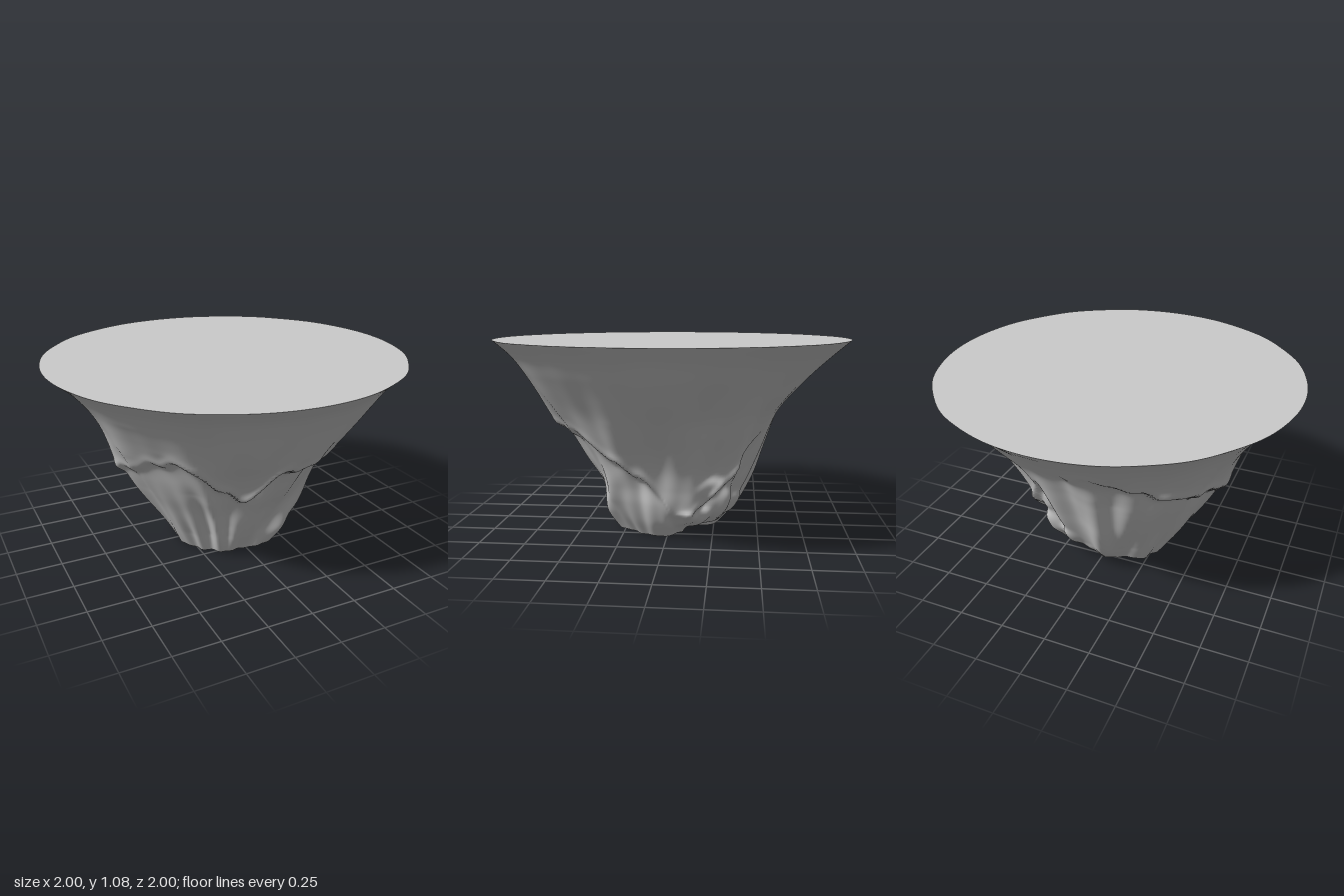
import * as THREE from 'three';

const HEIGHT = 1.08, SEG = 240, ROWS = 84;

// Radius by height for the four sides of the rock, joined by smooth curves
const levels = [0, 0.1, 0.2, 0.3, 0.4, 0.5, 0.6, 0.7, 0.8, 0.9, 1.0, HEIGHT];
const curve = (values) => new THREE.CubicInterpolant(levels, values, 1);
const left = curve([0.30, 0.37, 0.42, 0.45, 0.49, 0.55, 0.62, 0.69, 0.77, 0.85, 0.925, 1]);
const right = curve([0.31, 0.37, 0.43, 0.49, 0.55, 0.605, 0.65, 0.70, 0.755, 0.82, 0.905, 1]);
const front = curve([0.30, 0.35, 0.39, 0.43, 0.49, 0.55, 0.62, 0.70, 0.77, 0.835, 0.91, 1]);
const back = curve([0.27, 0.35, 0.41, 0.46, 0.50, 0.54, 0.58, 0.63, 0.71, 0.80, 0.905, 1]);

// Ledge line around the rock: angle in degrees (0 = +x, 90 = +z), height, depth
const ledge = [
  [-180, 0.52, 0.02], [-164, 0.57, 0.035], [-135, 0.65, 0.03], [-115, 0.75, 0.02], [-100, 0.84, 0.01],
  [-80, 0.74, 0], [-62, 0.62, 0], [-50, 0.48, 0.025], [-40, 0.32, 0.035], [-28, 0.24, 0.035],
  [-15, 0.13, 0.03], [0, 0.22, 0.015], [12, 0.38, 0.03], [24, 0.42, 0.04], [34, 0.5, 0.02],
  [45, 0.6, 0.02], [75, 0.62, 0.03], [90, 0.63, 0.045], [98, 0.5, 0.045], [106, 0.4, 0.045],
  [114, 0.5, 0.04], [135, 0.72, 0.035], [158, 0.62, 0.015], [180, 0.52, 0.02],
];

// Gullies and ribs: base angle, drift with height, width, depth (negative = rib), top
const gullies = [
  [128, 14, 6, 0.035, 0.75], [146, 6, 6, 0.025, 0.9], [112, 5, 5, 0.025, 0.5], [120, 12, 4, -0.02, 0.7],
  [88, -85, 12, 0.02, 0.5], [70, -100, 9, -0.02, 0.5], [-60, 12, 7, 0.02, 0.8], [-46, 2, 5, -0.015, 0.8],
  [-80, -6, 8, 0.035, 1.0], [-95, -6, 7, -0.015, 0.9], [-110, 4, 7, 0.025, 0.85], [-126, 8, 8, 0.02, 0.8],
  [-152, -8, 9, 0.02, 0.7], [172, -6, 6, 0.02, 0.7],
];

// Boulders stuck to the lower wall: angle, height, angular and vertical size, bulge
const boulders = [
  [-46, 0.2, 11, 0.08, 0.025], [-32, 0.3, 9, 0.06, 0.025], [-16, 0.12, 9, 0.05, 0.03],
  [-64, 0.16, 9, 0.07, 0.03], [-30, 0.13, 9, 0.05, 0.03], [-50, 0.38, 8, 0.06, 0.015],
];

const wrap = (a) => ((a + 540) % 360) - 180;
const bell = (t) => Math.exp(-t * t);
const clamp01 = (t) => THREE.MathUtils.clamp(t, 0, 1);

// Value from the ledge table at an angle
function ledgeValue(column, deg) {
  let i = 1;
  while (deg > ledge[i][0]) i++;
  const [p, q] = [ledge[i - 1], ledge[i]];
  return THREE.MathUtils.lerp(p[column], q[column], (deg - p[0]) / (q[0] - p[0]));
}

// The same, softened by averaging neighbours
function ledgeAt(column, deg) {
  return [-5, -2.5, 0, 2.5, 5].reduce((sum, d) => sum + ledgeValue(column, wrap(deg + d)) / 5, 0);
}

// Everything that depends on the angle only
const columns = Array.from({ length: SEG }, (_, i) => {
  const deg = -180 + i * 360 / SEG, a = THREE.MathUtils.degToRad(deg);
  const jag = 0.012 * Math.sin(17 * a) + 0.008 * Math.sin(29 * a + 1);
  return { deg, a, height: ledgeAt(1, deg) + jag, depth: ledgeAt(2, deg) };
});

function radius({ deg, a, height, depth }, y) {
  const c = Math.cos(a), s = Math.sin(a);
  const sideX = (c > 0 ? left : right).evaluate(y)[0];
  const sideZ = (s > 0 ? front : back).evaluate(y)[0];
  let r = sideX * c * c + sideZ * s * s;
  const fade = clamp01((HEIGHT - y) / 0.4);
  const low = 0.35 + 0.65 * clamp01(y / 0.12);

  // Overhanging lip above the ledge line, recess under it
  const d = y - height;
  r += fade * low * depth * (d > 0 ? 0.5 * bell(d / 0.14) + 0.35 * bell(d / 0.035)
    : -0.75 * bell(d / 0.16) + 1.6 * bell(d / 0.03));

  for (const [at, drift, width, cut, top] of gullies) {
    r -= clamp01((top - y) / 0.3) * low * cut * bell(wrap(deg - at - drift * y) / width);
  }
  for (const [at, h, w, tall, out] of boulders) {
    r += out * bell(Math.hypot(wrap(deg - at) / w, (y - h) / tall) ** 2);
  }
  // Broken foot, cut in under the boulders
  const foot = 0.1 + 0.025 * Math.sin(15 * a);
  r -= (0.15 + 0.02 * Math.sin(21 * a)) * bell((deg + 42) / 27) * (1 - THREE.MathUtils.smoothstep(y, 0, foot));
  // Broad folds and fine weathering
  r += fade * 0.006 * (Math.sin(5 * a + 6 * y + 2) + Math.sin(7 * a + 9 * y) + Math.sin(13 * a - 6 * y + 1)
    + 0.6 * Math.sin(23 * a + 5 * y + 2));
  // Slightly uneven rim
  return r + 0.003 * (1 - fade) * Math.sin(14 * a + 2) * Math.sin(2 * a) ** 2;
}

function point(i, y) {
  const col = columns[i], r = radius(col, y);
  return [r * Math.cos(col.a), y, r * Math.sin(col.a)];
}

function wallGeometry() {
  const pos = [], index = [];
  for (let j = 0; j <= ROWS; j++) {
    for (let i = 0; i < SEG; i++) pos.push(...point(i, HEIGHT * j / ROWS));
  }
  for (let j = 0; j < ROWS; j++) {
    for (let i = 0; i < SEG; i++) {
      const n = (i + 1) % SEG, a = j * SEG + i, b = j * SEG + n;
      index.push(a, a + SEG, b, b, a + SEG, b + SEG);
    }
  }
  return build(pos, index);
}

function capGeometry(y, up) {
  const pos = [0, y, 0], index = [];
  for (let i = 0; i < SEG; i++) {
    pos.push(...point(i, y));
    const a = i + 1, b = (i + 1) % SEG + 1;
    index.push(0, ...(up ? [b, a] : [a, b]));
  }
  return build(pos, index);
}

function build(pos, index) {
  const g = new THREE.BufferGeometry();
  g.setAttribute('position', new THREE.Float32BufferAttribute(pos, 3));
  g.setIndex(index);
  g.computeVertexNormals();
  return g;
}

export function createModel() {
  const group = new THREE.Group();
  group.name = 'floatingRockIsland';
  const material = new THREE.MeshStandardMaterial({ color: 0xcccccc });
  const add = (name, geometry) => {
    const mesh = new THREE.Mesh(geometry, material);
    mesh.name = name;
    group.add(mesh);
  };
  add('rockWall', wallGeometry());
  add('flatTop', capGeometry(HEIGHT, true));
  add('rockBase', capGeometry(0, false));
  return group;
}
